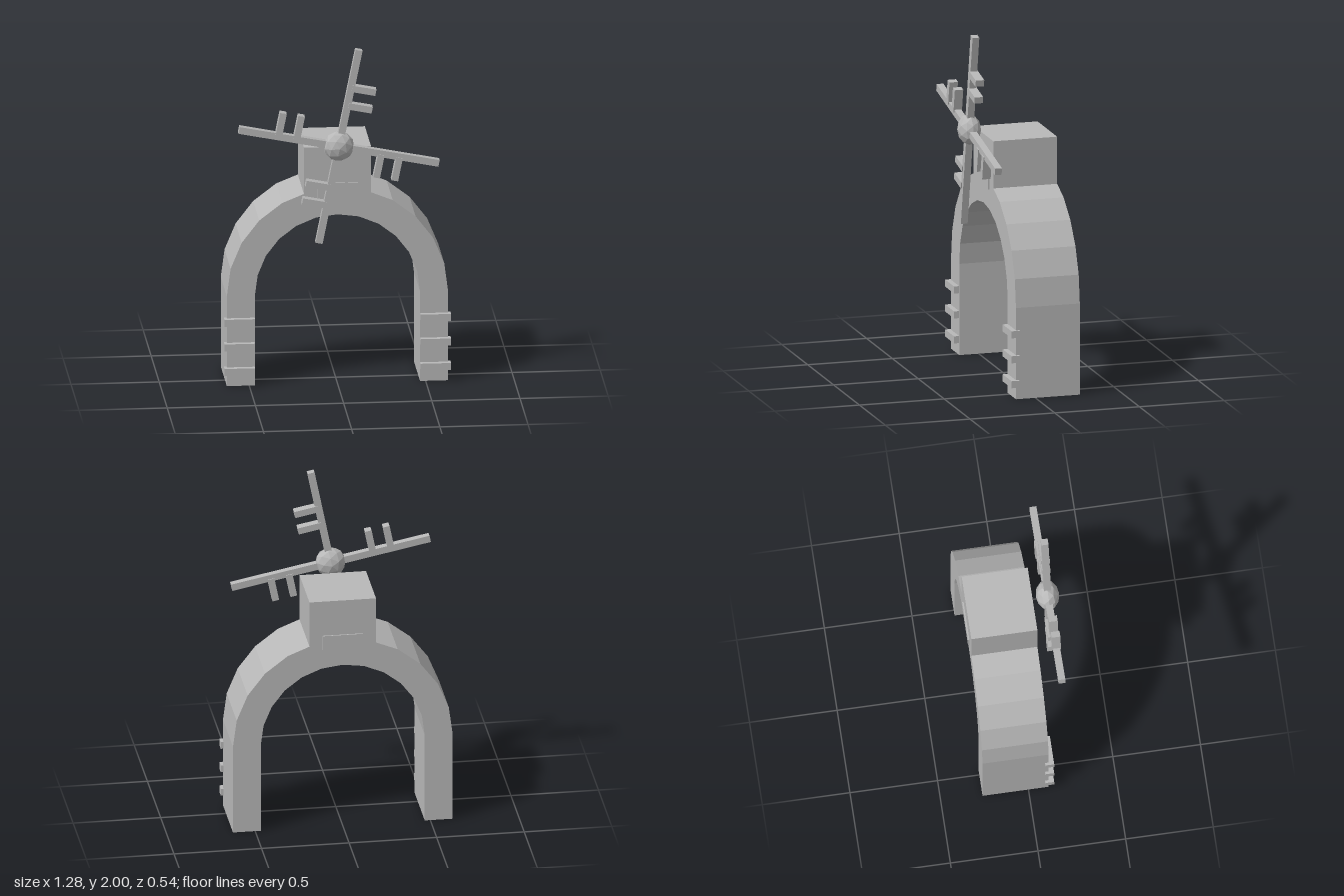
import * as THREE from 'three';

export function createModel() {
  const stone = new THREE.MeshStandardMaterial({ color: 0xb8b8b8 });
  stone.name = 'grey';
  stone.flatShading = true;

  const model = new THREE.Group();
  model.name = 'archWindmill';

  function add(parent, name, geometry, x = 0, y = 0, z = 0) {
    const mesh = new THREE.Mesh(geometry, stone);
    mesh.name = name;
    mesh.position.set(x, y, z);
    parent.add(mesh);
    return mesh;
  }
  const box = (w, h, d) => new THREE.BoxGeometry(w, h, d);

  // Arch with a square tower on its crown, extruded from one outline
  const front = 0.115, back = -0.262, spring = 0.53;
  const arcPoint = (radius, step) => {
    const a = step * Math.PI / 12;
    return new THREE.Vector2(radius * Math.cos(a), spring + radius * Math.sin(a));
  };
  const outline = [new THREE.Vector2(0.627, 0)];
  for (let i = 0; i <= 4; i++) outline.push(arcPoint(0.627, i));
  outline.push(new THREE.Vector2(0.19, 1.123), new THREE.Vector2(0.19, 1.397));
  outline.push(new THREE.Vector2(-0.19, 1.397), new THREE.Vector2(-0.19, 1.123));
  for (let i = 8; i <= 12; i++) outline.push(arcPoint(0.627, i));
  outline.push(new THREE.Vector2(-0.627, 0), new THREE.Vector2(-0.468, 0));
  for (let i = 12; i >= 0; i--) outline.push(arcPoint(0.468, i));
  outline.push(new THREE.Vector2(0.468, 0));
  const archGeometry = new THREE.ExtrudeGeometry(new THREE.Shape(outline), {
    depth: front - back, bevelEnabled: false,
  });
  add(model, 'archAndTower', archGeometry, 0, 0, back);

  // Plaques on the front and back of the tower
  add(model, 'frontPlaque', box(0.23, 0.085, 0.016), 0, 1.143, front);
  add(model, 'backPlaque', box(0.23, 0.085, 0.016), 0, 1.143, back);

  // Three slats across the front of each leg
  for (const side of [-1, 1]) {
    for (const y of [0.09, 0.235, 0.38]) {
      add(model, side > 0 ? 'leftLegSlat' : 'rightLegSlat', box(0.173, 0.041, 0.05), side * 0.556, y, 0.12);
    }
  }

  // Tilted rotor: faceted hub and four blades with two pegs each
  const rotor = new THREE.Group();
  rotor.name = 'rotor';
  rotor.position.set(0, 1.428, 0.2);
  rotor.rotation.z = -THREE.MathUtils.degToRad(11.3);
  model.add(rotor);

  const hub = new THREE.IcosahedronGeometry(0.088, 1);
  hub.rotateX(Math.atan(2 / (1 + Math.sqrt(5))));
  hub.scale(1, 1, 0.76);
  hub.computeVertexNormals();
  add(rotor, 'hub', hub);

  for (let i = 0; i < 4; i++) {
    const blade = new THREE.Group();
    blade.name = 'blade';
    blade.rotation.z = i * Math.PI / 2;
    rotor.add(blade);
    add(blade, 'bladeSpar', box(0.04, 0.578, 0.04), 0, 0.289, 0);
    for (const along of [0.245, 0.35]) {
      add(blade, 'bladePeg', box(0.137, 0.038, 0.05), 0.0735, along, 0);
    }
  }

  return model;
}
